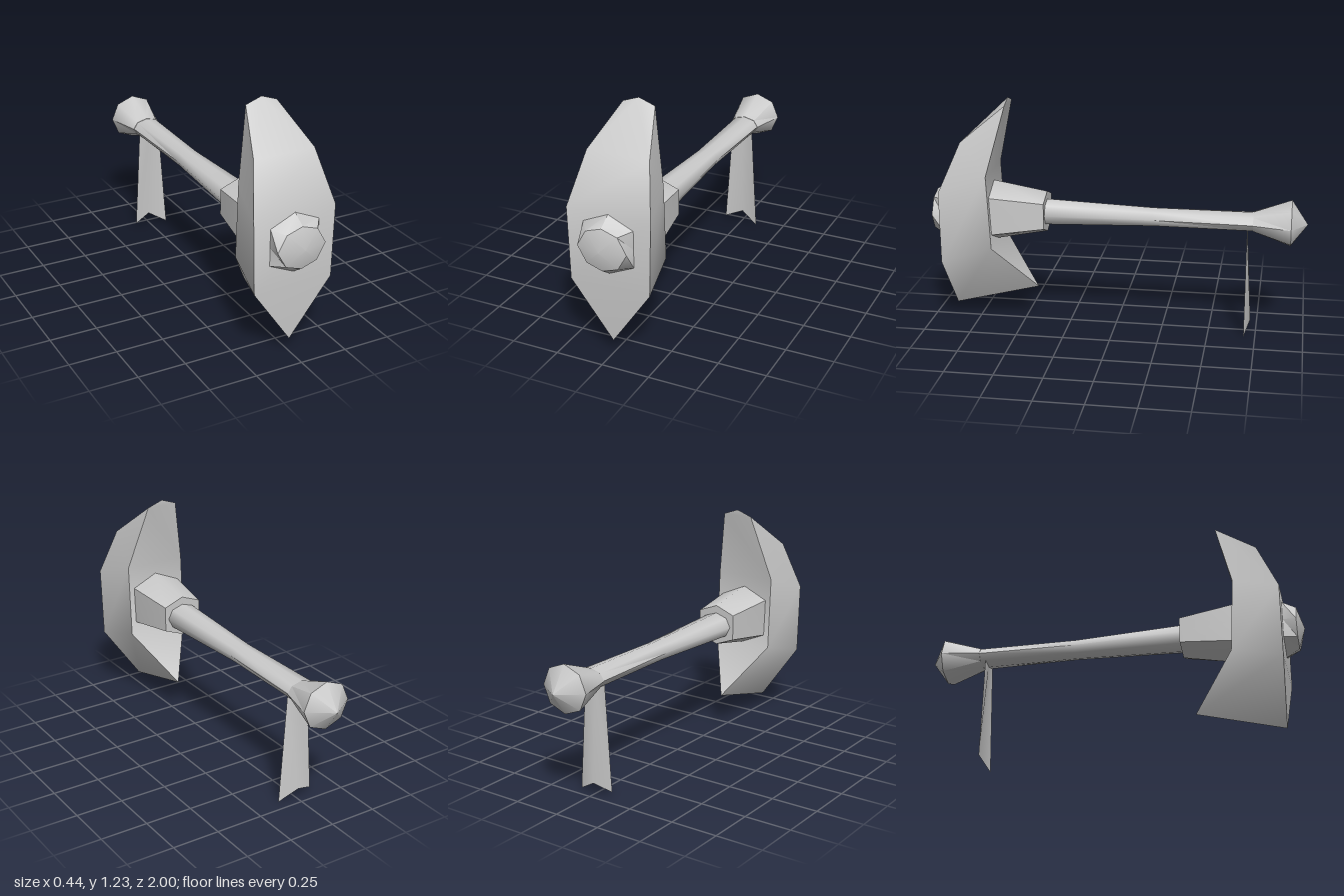
import * as THREE from 'three';
import { toCreasedNormals } from 'three/addons/utils/BufferGeometryUtils.js';

const grey = new THREE.MeshStandardMaterial({ color: 0xcccccc });
const greyThin = new THREE.MeshStandardMaterial({ color: 0xcccccc, side: THREE.DoubleSide });

// Mesh from polygons (lists of corners, counter-clockwise from outside), fanned into triangles
function polyMesh(name, polys, crease, material = grey) {
  const pos = [];
  for (const p of polys)
    for (let i = 1; i < p.length - 1; i++) {
      const [a, b, c] = [p[0], p[i], p[i + 1]].map(v => new THREE.Vector3(...v));
      if (new THREE.Triangle(a, b, c).getArea() < 1e-7) continue;
      for (const v of [a, b, c]) pos.push(v.x, v.y, v.z);
    }
  const g = new THREE.BufferGeometry();
  g.setAttribute('position', new THREE.Float32BufferAttribute(pos, 3));
  const mesh = new THREE.Mesh(toCreasedNormals(g, crease), material);
  mesh.name = name;
  return mesh;
}

// Eight-sided loft along z; ring = [z, half width, half height, centre y], back to front.
// A corner of [0.71, 0.71] is round, [1, 0.6] has upright sides.
function loft(name, rings, crease, corner = [0.71, 0.71]) {
  const loops = rings.map(([z, rx, ry, cy, c = corner]) => {
    const [u, v] = c;
    return [[1, 0], [u, v], [0, 1], [-u, v], [-1, 0], [-u, -v], [0, -1], [u, -v]]
      .map(([x, y]) => [x * rx, cy + y * ry, z]);
  });
  const polys = [];
  for (let k = 0; k < loops.length - 1; k++)
    for (let i = 0; i < 8; i++) {
      const j = (i + 1) % 8;
      polys.push([loops[k][i], loops[k][j], loops[k + 1][j], loops[k + 1][i]]);
    }
  return polyMesh(name, polys, crease);
}

const flip = ([x, y, z]) => [-x, y, z];

function createBlade() {
  // Outline of the front face, then of the narrower back (+x half)
  const apex = [0, 1.23, 0.57];
  const f0 = [0.085, 1.2, 0.57], f1 = [0.165, 1.02, 0.79];
  const f2 = [0.222, 0.76, 0.9], f3 = [0.212, 0.38, 0.9], fEnd = [0, 0.075, 0.88];
  const b1 = [0.17, 0.84, 0.66], b2 = [0.17, 0.45, 0.64], bEnd = [0, 0.19, 0.425];

  const sides = [[b1, f0, f1, f2], [b1, f2, f3, b2], [b2, f3, fEnd, bEnd]];
  const polys = [
    ...sides,
    ...sides.map(p => p.map(flip).reverse()),
    // front face
    [apex, flip(f0), flip(f1), f1, f0],
    [f1, flip(f1), flip(f2), f2],
    [f2, flip(f2), flip(f3), f3],
    [f3, flip(f3), fEnd],
    // back face
    [apex, f0, flip(f0)],
    [f0, b1, flip(b1), flip(f0)],
    [b1, b2, flip(b2), flip(b1)],
    [b2, bEnd, flip(b2)],
  ];
  return polyMesh('blade', polys, 0.75);
}

function createRibbon() {
  // Strip folded down its middle, with a swallow-tail end
  const top = [[-0.06, 0.59, -0.69], [0, 0.59, -0.69], [0.06, 0.59, -0.69]];
  const end = [[-0.095, 0.03, -0.69], [0, 0.065, -0.72], [0.1, 0.005, -0.69]];
  const polys = [0, 1].map(i => [end[i], end[i + 1], top[i + 1], top[i]]);
  return polyMesh('ribbon', polys, 0.75, greyThin);
}

export function createModel() {
  const group = new THREE.Group();

  group.add(createBlade());

  // Socket behind and through the blade, closed at its back end
  group.add(loft('socket', [
    [0.37, 0, 0, 0.62], [0.37, 0.108, 0.11, 0.62],
    [0.65, 0.14, 0.162, 0.617], [0.9, 0.132, 0.155, 0.61],
  ], 1.0, [1, 0.62]));

  // Striking face: tapers from the socket section to an octagon and a low point
  group.add(loft('hammerFace', [
    [0.9, 0.132, 0.155, 0.61, [1, 0.62]],
    [0.967, 0.13, 0.11, 0.61, [0.64, 0.75]],
    [1, 0, 0, 0.61],
  ], 0.6));

  group.add(loft('handle', [
    [-0.74, 0.08, 0.049, 0.615], [-0.2, 0.066, 0.05, 0.615], [0.4, 0.09, 0.072, 0.617],
  ], 1.0));

  group.add(loft('pommel', [
    [-1, 0, 0, 0.61], [-0.915, 0.13, 0.125, 0.614], [-0.72, 0.082, 0.051, 0.615],
    [-0.72, 0, 0, 0.615],
  ], 0.8));

  group.add(createRibbon());
  return group;
}
